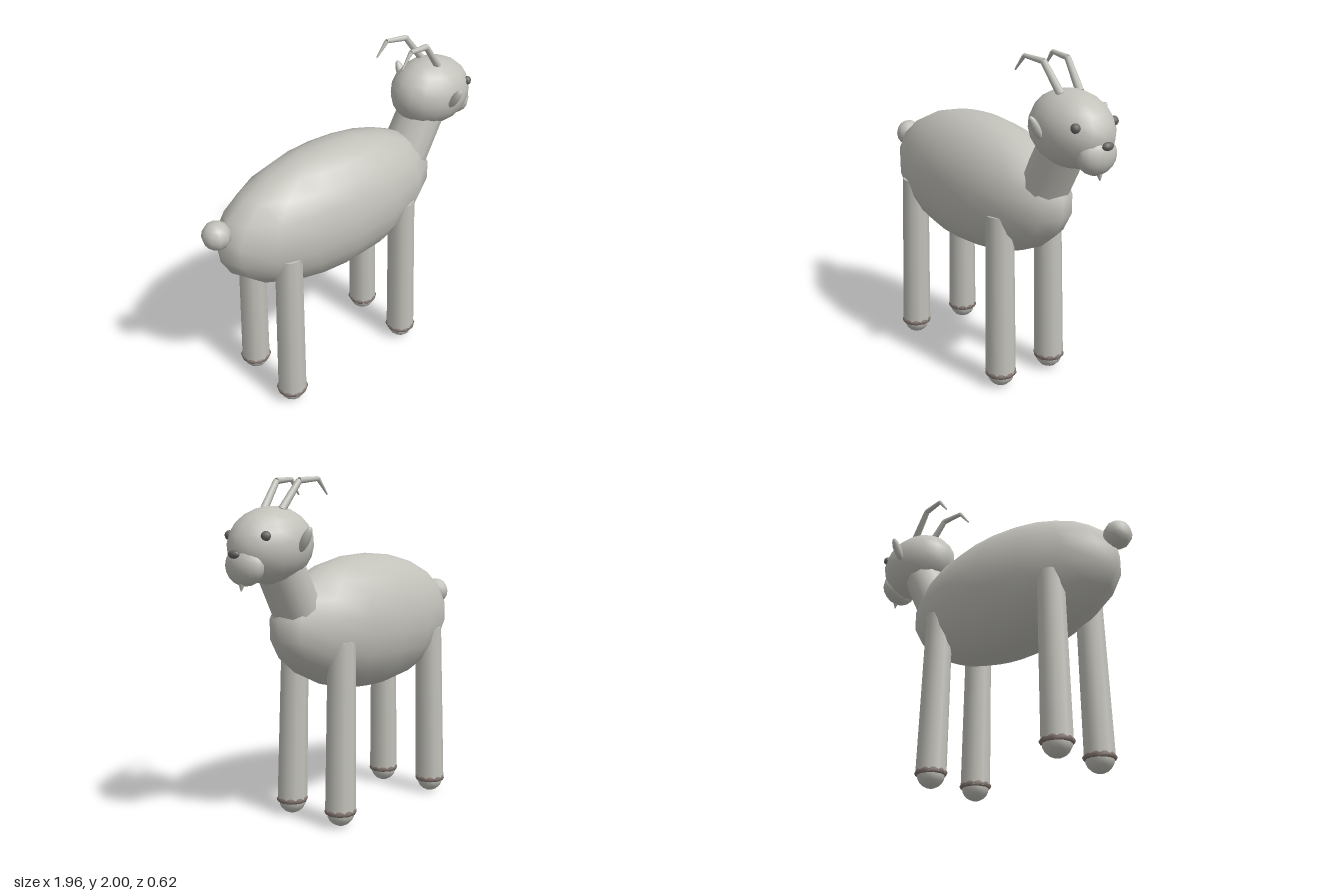
import * as THREE from 'three';

const coat = new THREE.MeshStandardMaterial({ color: 0xc2c1ba });
coat.name = 'coat grey';
const dark = new THREE.MeshStandardMaterial({ color: 0x666562 });
dark.name = 'dark grey';
const band = new THREE.MeshStandardMaterial({ color: 0x81746e });
band.name = 'hoof brown';

const V = (x, y, z) => new THREE.Vector3(x, y, z);

export function createModel() {
  const model = new THREE.Group();
  model.name = 'goat';

  const add = (name, geometry, material, parent = model) => {
    const mesh = new THREE.Mesh(geometry, material);
    mesh.name = name;
    parent.add(mesh);
    return mesh;
  };

  // Sphere stretched to three radii
  const ball = (name, p, r, material = coat, w = 16, h = 11, parent = model) => {
    const mesh = add(name, new THREE.SphereGeometry(1, w, h), material, parent);
    mesh.position.set(...p);
    mesh.scale.set(...r);
    return mesh;
  };

  // Tapered cylinder running from point a to point b
  const limb = (name, a, b, ra, rb, sides, material = coat, parent = model) => {
    const axis = b.clone().sub(a);
    const mesh = add(name, new THREE.CylinderGeometry(rb, ra, axis.length(), sides), material, parent);
    mesh.position.copy(a).add(b).multiplyScalar(0.5);
    mesh.quaternion.setFromUnitVectors(V(0, 1, 0), axis.normalize());
    return mesh;
  };

  // Trunk, tail and neck
  ball('body', [-0.127, 1.155, 0], [0.77, 0.407, 0.315]);
  ball('tail', [-0.9, 1.28, 0], [0.082, 0.083, 0.083], coat, 10, 8);
  limb('neck', V(0.44, 1.19, 0), V(0.62, 1.52, 0), 0.15, 0.145, 12).scale.x = 0.93;

  // Head
  ball('head', [0.683, 1.632, 0], [0.268, 0.21, 0.205]).rotation.z = -0.12;
  ball('muzzle', [0.878, 1.53, 0], [0.082, 0.11, 0.125], coat, 14, 10);
  ball('nose', [0.958, 1.592, 0], [0.022, 0.023, 0.038], dark, 10, 8);
  limb('beard', V(0.9, 1.45, 0), V(0.91, 1.395, 0), 0.025, 0.002, 6);

  for (const s of [1, -1]) {
    const side = s > 0 ? 'right' : 'left'; // +z is the goat's right as it faces +x

    ball(side + 'Eye', [0.857, 1.686, s * 0.135], [0.027, 0.027, 0.027], dark, 10, 8);
    ball(side + 'Ear', [0.66, 1.665, s * 0.232], [0.029, 0.077, 0.024], coat, 10, 8).rotation.x = s * 0.52;

    // Horn: three tapering straight pieces swept backwards
    const horn = new THREE.Group();
    horn.name = side + 'Horn';
    model.add(horn);
    const path = [V(0.665, 1.82, s * 0.067), V(0.545, 1.977, s * 0.085),
      V(0.408, 1.99, s * 0.1), V(0.34, 1.905, s * 0.107)];
    const radii = [0.023, 0.018, 0.013, 0.005];
    for (let i = 0; i < 3; i++) {
      limb('hornPiece', path[i], path[i + 1], radii[i], radii[i + 1], 8, coat, horn);
    }

    // Legs: shaft, dark ring and round hoof
    for (const [name, x, topX] of [['FrontLeg', 0.328, 0.302], ['BackLeg', -0.578, -0.558]]) {
      const leg = new THREE.Group();
      leg.name = side + name;
      model.add(leg);
      limb('shaft', V(x, 0.09, s * 0.19), V(topX, 1.08, s * 0.18), 0.09, 0.081, 10, coat, leg);
      ball('hoof', [x, 0.09, s * 0.19], [0.083, 0.083, 0.083], coat, 12, 10, leg);
      const ring = add('hoofRing', new THREE.TorusGeometry(0.079, 0.018, 6, 10), band, leg);
      ring.position.set(x, 0.095, s * 0.19);
      ring.rotation.x = Math.PI / 2;
    }
  }

  return model;
}
